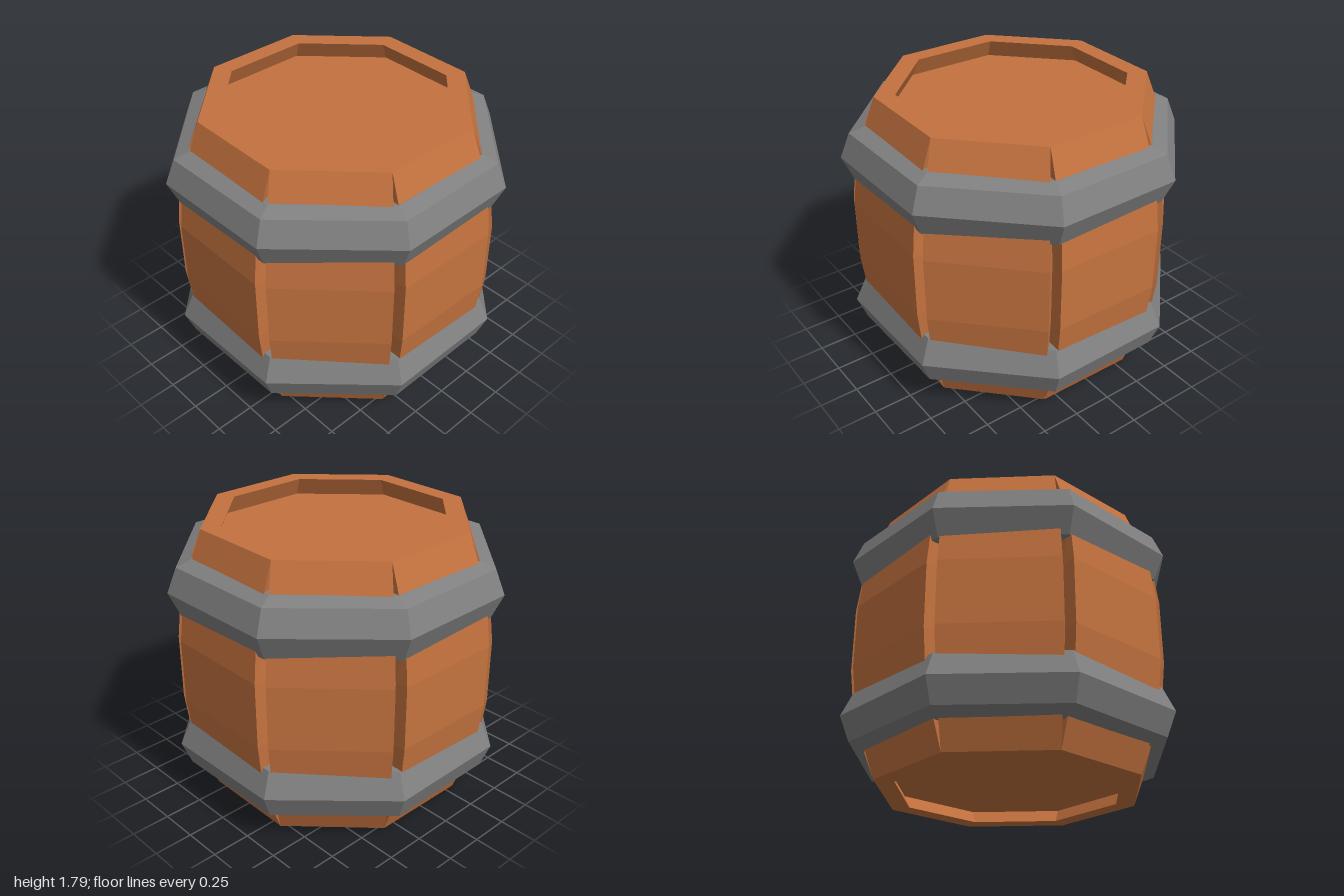
import * as THREE from 'three';

const SIDES = 8;
const TAN = Math.tan(Math.PI / SIDES);
const COS = Math.cos(Math.PI / SIDES);
const TWIST = THREE.MathUtils.degToRad(0.6); // wood and hoops are turned slightly apart
const HEIGHT = 1.795;

// One bulging stave: a box whose rows follow the barrel's curve.
// Columns: y, outer distance, outer half width, inner distance
function staveGeometry() {
  const rows = [
    [0, 0.785, 0.785 * TAN, 0.667],
    [0.36, 0.922, 0.348, 0.83],
    [0.69, 0.96, 0.36, 0.875],
    [1.105, 0.96, 0.36, 0.875],
    [1.435, 0.922, 0.348, 0.83],
    [HEIGHT, 0.785, 0.785 * TAN, 0.667],
  ];
  const geo = new THREE.BoxGeometry(2, rows.length - 1, 2, 1, rows.length - 1, 1);
  const pos = geo.attributes.position;
  for (let i = 0; i < pos.count; i++) {
    const [y, outer, half, inner] = rows[Math.round(pos.getY(i) + (rows.length - 1) / 2)];
    const front = pos.getZ(i) > 0;
    const w = front ? half : inner * TAN; // backs meet their neighbours, fronts leave a groove
    pos.setXYZ(i, Math.sign(pos.getX(i)) * w, y, front ? outer : inner);
  }
  geo.computeVertexNormals();
  return geo;
}

// Eight-sided band; its profile is given as [distance to the flat, y]
function hoopGeometry() {
  const profile = [
    [0.8, 1.27], [0.93, 1.27], [0.996, 1.43], [0.938, 1.585], [0.85, 1.622], [0.8, 1.622], [0.8, 1.27],
  ].map(([r, y]) => new THREE.Vector2(r / COS, y - HEIGHT / 2));
  return new THREE.LatheGeometry(profile, SIDES, Math.PI / SIDES);
}

export function createModel() {
  const model = new THREE.Group();
  model.name = 'barrel';
  const wood = new THREE.MeshStandardMaterial({ color: 0xc4723f, flatShading: true });
  const metal = new THREE.MeshStandardMaterial({ color: 0x808080, flatShading: true });

  // Ring of staves, which also forms the raised rims
  const staves = new THREE.Group();
  staves.name = 'staves';
  const stave = staveGeometry();
  for (let i = 0; i < SIDES; i++) {
    const mesh = new THREE.Mesh(stave, wood);
    mesh.name = 'stave';
    mesh.rotation.y = (i * 2 * Math.PI) / SIDES - TWIST;
    staves.add(mesh);
  }
  model.add(staves);

  // Recessed lid and base
  for (const [name, y] of [['lid', HEIGHT - 0.12], ['base', 0.08]]) {
    const disc = new THREE.Mesh(
      new THREE.CylinderGeometry(0.74 / COS, 0.74 / COS, 0.04, SIDES, 1, false, Math.PI / SIDES), wood);
    disc.name = name;
    disc.position.y = y + (name === 'lid' ? -0.02 : 0.02);
    disc.rotation.y = -TWIST;
    model.add(disc);
  }

  // Upper hoop, and the same hoop turned over for the lower one
  const hoop = hoopGeometry();
  for (const [name, flip] of [['upperHoop', 0], ['lowerHoop', Math.PI]]) {
    const mesh = new THREE.Mesh(hoop, metal);
    mesh.name = name;
    mesh.position.y = HEIGHT / 2;
    mesh.rotation.set(flip, TWIST, 0, 'YXZ');
    model.add(mesh);
  }
  return model;
}
